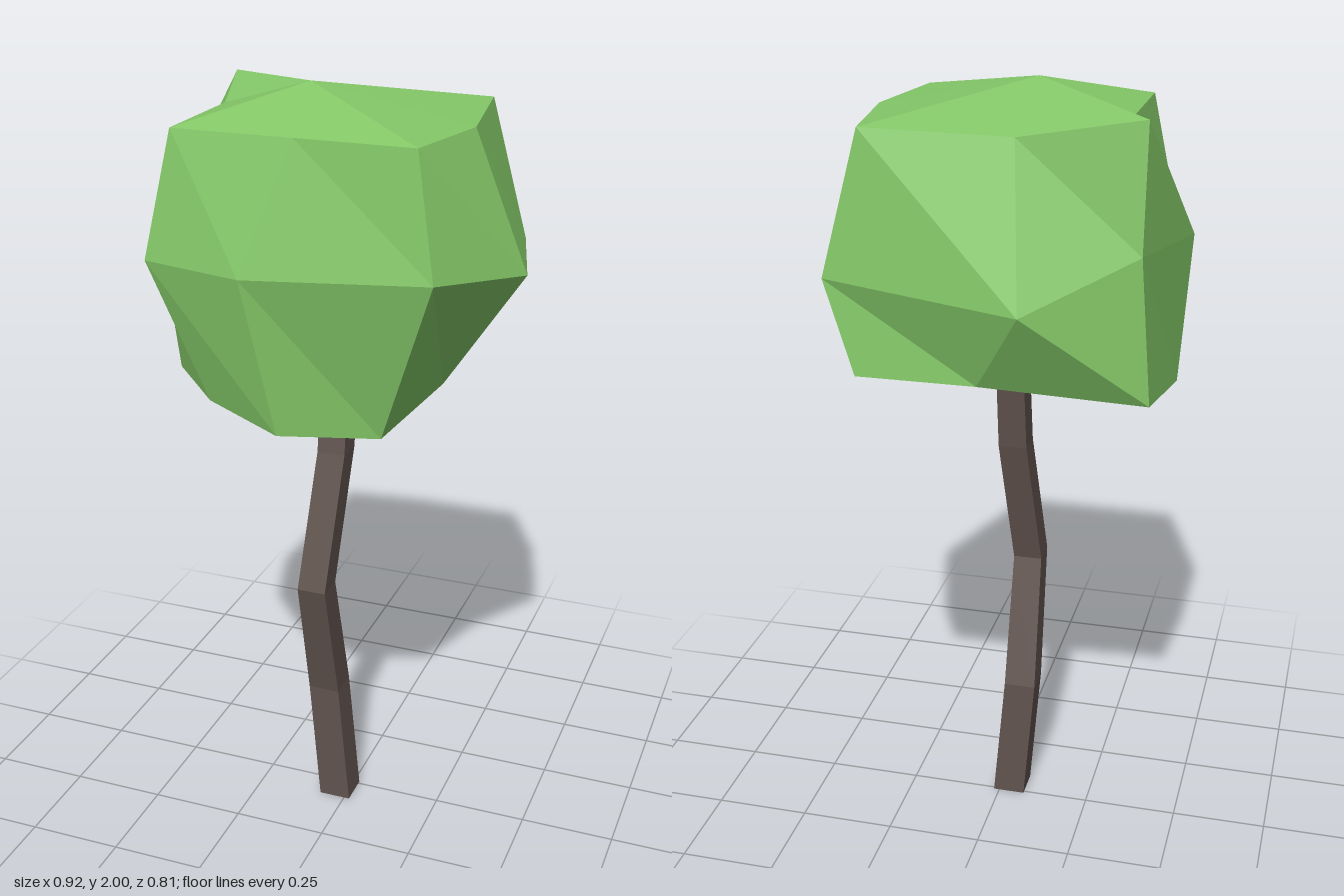
import * as THREE from 'three';

// Skin a stack of equal-sized rings (counterclockwise from above), closed by a centre point at each end.
function skinRings(rings, bottomCentre, topCentre) {
  const pos = [];
  const tri = (a, b, c) => pos.push(...a, ...b, ...c);
  const n = rings[0].length;
  const last = rings[rings.length - 1];
  for (let i = 0; i < n; i++) {
    const j = (i + 1) % n;
    for (let k = 0; k < rings.length - 1; k++) {
      const lo = rings[k], hi = rings[k + 1];
      tri(lo[i], lo[j], hi[i]);
      tri(lo[j], hi[j], hi[i]);
    }
    tri(bottomCentre, rings[0][j], rings[0][i]);
    tri(topCentre, last[i], last[j]);
  }
  const geo = new THREE.BufferGeometry();
  geo.setAttribute('position', new THREE.Float32BufferAttribute(pos, 3));
  geo.computeVertexNormals();
  return geo;
}

function part(name, geo, color) {
  const mesh = new THREE.Mesh(geo, new THREE.MeshStandardMaterial({ color, flatShading: true }));
  mesh.name = name;
  return mesh;
}

export function createModel() {
  const tree = new THREE.Group();
  tree.name = 'tree';

  // Crooked square trunk: centre x, y, z and half width of each section
  const sections = [
    [-0.028, 0, 0.035, 0.043],
    [-0.057, 0.35, 0.038, 0.042],
    [-0.055, 0.7, 0.131, 0.038],
    [-0.033, 1.06, 0.04, 0.037],
    [-0.033, 1.4, -0.01, 0.035],
  ];
  const corners = [[-1, 1], [1, 1], [1, -1], [-1, -1]];
  const trunkRings = sections.map(([x, y, z, h]) =>
    corners.map(([sx, sz]) => [x + sx * h, y, z + sz * h]));
  tree.add(part('trunk',
    skinRings(trunkRings, sections[0].slice(0, 3), sections[4].slice(0, 3)), 0x62544f));

  // Faceted crown: rings run front left corner, front, right, back, left
  const lower = [
    [-0.26, 1.26, 0.3], [-0.07, 1.21, 0.34], [0.17, 1.21, 0.27], [0.26, 1.29, 0.07],
    [0.28, 1.34, -0.31], [-0.02, 1.34, -0.31], [-0.42, 1.3, -0.24], [-0.44, 1.25, 0.09],
  ];
  const middle = [
    [-0.38, 1.62, 0.37], [-0.13, 1.61, 0.405], [0.32, 1.63, 0.36], [0.46, 1.59, 0.08],
    [0.36, 1.57, -0.29], [-0.14, 1.545, -0.405], [-0.39, 1.655, -0.23], [-0.46, 1.62, 0.14],
  ];
  const upper = [
    [-0.32, 1.925, 0.33], [-0.02, 1.925, 0.33], [0.27, 1.925, 0.33], [0.32, 1.92, 0.06],
    [0.27, 1.925, -0.265], [-0.1, 1.92, -0.265], [-0.39, 1.96, -0.2], [-0.32, 1.925, 0.03],
  ];
  tree.add(part('crown',
    skinRings([lower, middle, upper], [-0.05, 1.27, 0.02], [-0.08, 2, 0.07]), 0x84c868));

  return tree;
}
